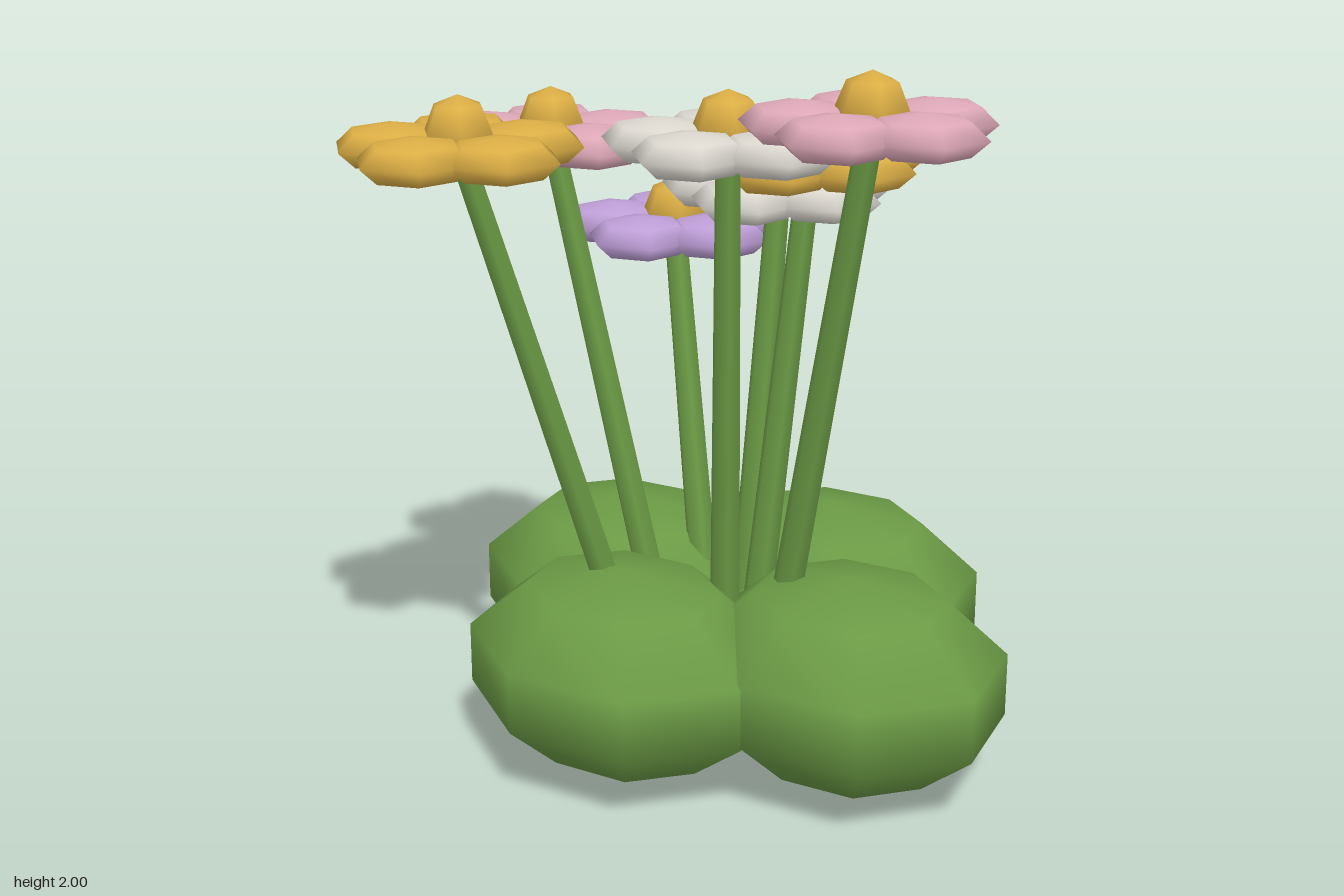
import * as THREE from 'three';

const mat = (name, color) => {
  const m = new THREE.MeshStandardMaterial({ color });
  m.name = name;
  return m;
};

export function createModel() {
  const green = mat('leaf green', 0x6b9a45);
  const yellow = mat('yellow', 0xdcae45);
  const pink = mat('pink', 0xdea8b8);
  const white = mat('white', 0xdcd8d0);
  const lavender = mat('lavender', 0xbf9fd8);

  const group = new THREE.Group();
  group.name = 'flowerClump';
  const add = (parent, name, geometry, material, x, y, z) => {
    const mesh = new THREE.Mesh(geometry, material);
    mesh.name = name;
    mesh.position.set(x, y, z);
    parent.add(mesh);
    return mesh;
  };

  // Four squashed, faceted bushes: x, y, z, radius x, radius y
  const bushGeo = new THREE.SphereGeometry(1, 8, 5);
  [
    [0, 0.3, 0.25, 0.505, 0.28],
    [0.48, 0.31, -0.15, 0.48, 0.29],
    [-0.485, 0.29, -0.15, 0.48, 0.28],
    [0, 0.29, -0.55, 0.495, 0.29],
  ].forEach(([x, y, z, rx, ry]) =>
    add(group, 'bush', bushGeo, green, x, y, z).scale.set(rx, ry, 0.42));

  // Hexagonal petals and buttons, corners pointing along z
  const petalGeo = new THREE.SphereGeometry(0.16, 6, 4).rotateY(Math.PI / 6).scale(1, 0.375, 1);
  const buttonGeo = new THREE.SphereGeometry(0.095, 6, 4).rotateY(Math.PI / 6);
  const up = new THREE.Vector3(0, 1, 0);

  // Flower heads: x, y, z, petal colour
  [
    [0.6, 1.86, -0.06, pink],
    [0.23, 1.78, 0.08, white],
    [-0.2, 1.77, 0.61, yellow],
    [-0.46, 1.7, 0.12, pink],
    [0.13, 1.67, -0.31, yellow],
    [-0.02, 1.56, -0.335, white],
    [-0.39, 1.4, -0.27, lavender],
  ].forEach(([x, y, z, colour]) => {
    const flower = new THREE.Group();
    flower.name = 'flower';
    group.add(flower);

    // Five petals around a button
    for (let i = 0; i < 5; i++) {
      const a = (i * Math.PI * 2) / 5;
      add(flower, 'petal', petalGeo, colour, x + 0.18 * Math.cos(a), y, z + 0.18 * Math.sin(a));
    }
    add(flower, 'button', buttonGeo, yellow, x, y + 0.045, z);

    // Stem leaning outwards, its foot hidden among the bushes
    const head = new THREE.Vector3(x, y, z);
    const foot = new THREE.Vector3(x * 0.5, 0.55, z * 0.5 - 0.06);
    foot.lerp(head, -0.2);
    const dir = head.clone().sub(foot);
    const mid = head.clone().add(foot).multiplyScalar(0.5);
    const stemGeo = new THREE.CylinderGeometry(0.034, 0.044, dir.length(), 6);
    add(flower, 'stem', stemGeo, green, mid.x, mid.y, mid.z)
      .quaternion.setFromUnitVectors(up, dir.normalize());
  });

  return group;
}
